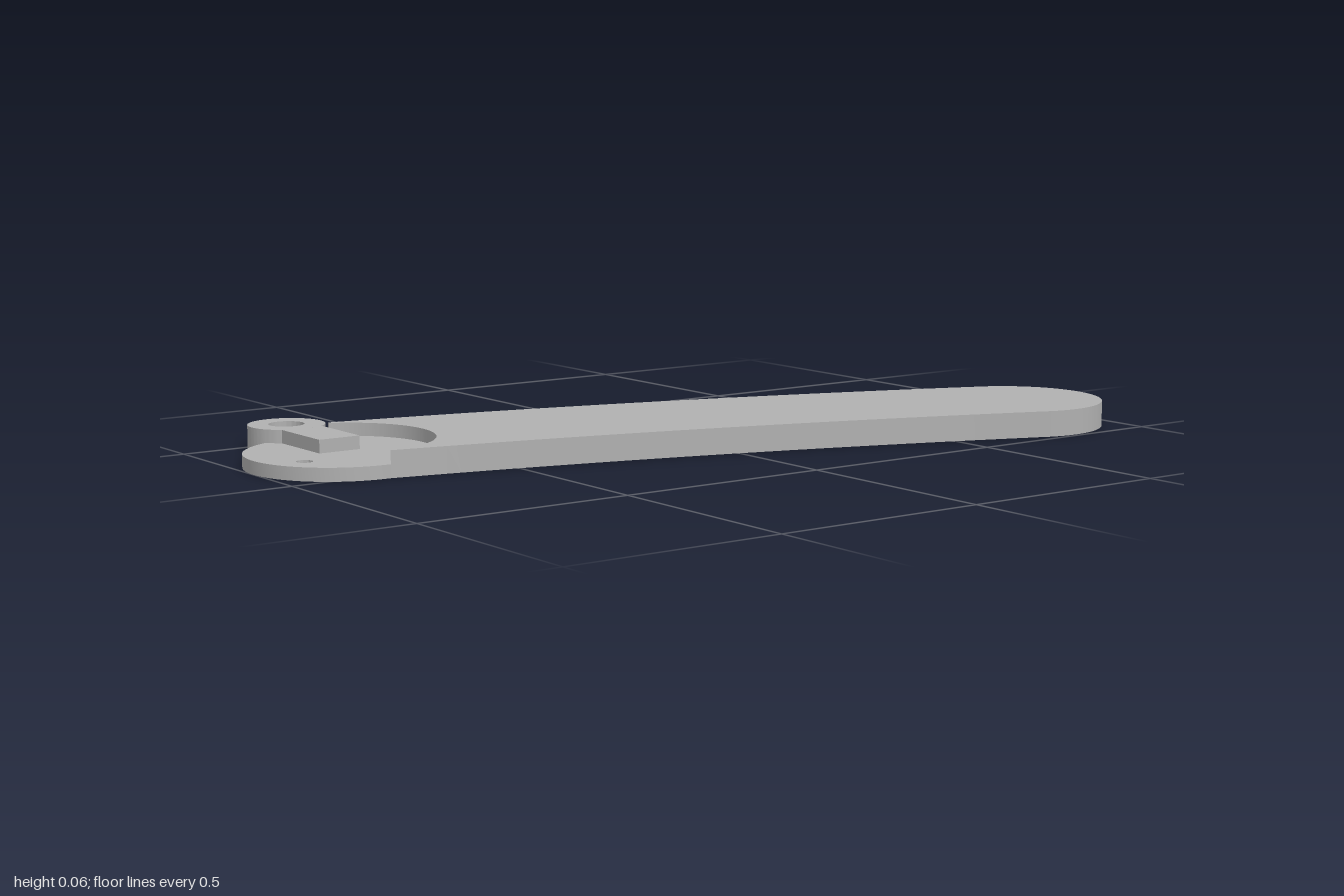
import * as THREE from 'three';
import { toCreasedNormals } from 'three/addons/utils/BufferGeometryUtils.js';

const FULL = 0.06, LOW = 0.03;                      // arm and recess heights
const DISC = { x: -0.79, y: 0.17, r: 0.21 };        // plan coordinates, y = -z
const EYE = { x: -0.79, y: 0.41, r: 0.087, hole: 0.04 };
const UP = Math.PI / 2;

// Angles at which the eyelet circle crosses the pivot disc
const gap = EYE.y - DISC.y;
const reach = (gap ** 2 + DISC.r ** 2 - EYE.r ** 2) / (2 * gap);
const discCut = Math.acos(reach / DISC.r);
const eyeCut = Math.acos((gap - reach) / EYE.r);

function circleHole(x, y, r) {
  return new THREE.Path().absarc(x, y, r, 0, Math.PI * 2, true);
}

// Raises a plan outline from one height to another
function slab(name, shape, from, to, material) {
  let geometry = new THREE.ExtrudeGeometry(shape, {
    depth: to - from, bevelEnabled: false, curveSegments: 48,
  });
  geometry.rotateX(-Math.PI / 2);
  geometry.translate(0, from, 0);
  geometry = toCreasedNormals(geometry, 0.5);
  const mesh = new THREE.Mesh(geometry, material);
  mesh.name = name;
  return mesh;
}

export function createModel() {
  const model = new THREE.Group();
  model.name = 'curvedArm';
  const grey = new THREE.MeshStandardMaterial({ color: 0xb0b0b0 });
  grey.name = 'plain grey';

  // Curved arm with a rounded tip, hollowed where it wraps the pivot disc
  const arm = new THREE.Shape();
  const a0 = -UP + 0.02, a1 = 1.17;
  arm.moveTo(DISC.x + DISC.r * Math.cos(a0), DISC.y + DISC.r * Math.sin(a0));
  arm.quadraticCurveTo(-0.04, -0.18, 0.7, -0.47);
  arm.absarc(0.79, -0.28, 0.21, -2.014, 1.19, false);
  arm.quadraticCurveTo(0.08, 0.233, -0.705, 0.372);
  arm.absarc(DISC.x, DISC.y, DISC.r, a1, a0, true);
  model.add(slab('arm', arm, 0, FULL, grey));

  // Thin pivot disc, notched for the eyelet, with two pin holes
  const disc = new THREE.Shape();
  disc.absarc(DISC.x, DISC.y, DISC.r, UP + discCut, UP - discCut + Math.PI * 2, false);
  disc.absarc(EYE.x, EYE.y, EYE.r, -UP + eyeCut, -UP - eyeCut, true);
  for (const side of [-1, 1]) disc.holes.push(circleHole(DISC.x + side * 0.125, 0.1, 0.018));
  model.add(slab('pivotDisc', disc, 0, LOW, grey));

  // Full-height eyelet ring
  const ring = new THREE.Shape().absarc(EYE.x, EYE.y, EYE.r, 0, Math.PI * 2, false);
  ring.holes.push(circleHole(EYE.x, EYE.y, EYE.hole));
  model.add(slab('eyeletRing', ring, 0, FULL, grey));

  // Tongue running from the eyelet to the disc centre
  const half = 0.05, bend = Math.asin(half / EYE.r);
  const tongue = new THREE.Shape();
  tongue.moveTo(EYE.x - half, DISC.y);
  tongue.lineTo(EYE.x + half, DISC.y);
  tongue.absarc(EYE.x, EYE.y, EYE.r, -UP + bend, -UP - bend, true);
  model.add(slab('eyeletTongue', tongue, LOW, FULL, grey));

  return model;
}
